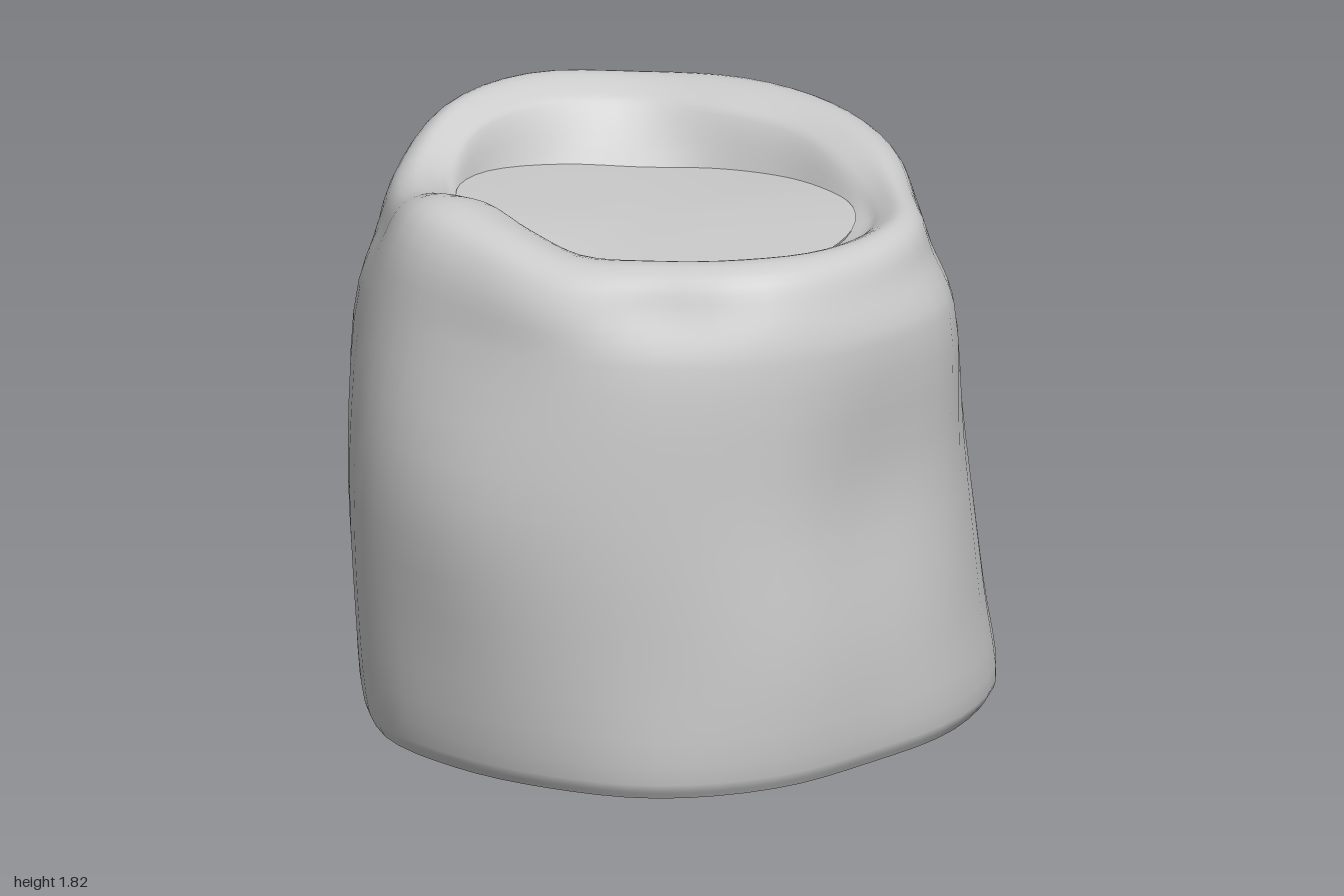
import * as THREE from 'three';

const SEG = 64, ROWS = 40, KEYS = 16;

// Smooth periodic interpolation of 16 values spaced around the pot (from +x towards +z)
function around(values, t) {
  const i = Math.floor(t), f = t - i;
  const v = (k) => values[(k + KEYS) % KEYS];
  const a = v(i - 1), b = v(i), c = v(i + 1), d = v(i + 2);
  return b + 0.5 * f * (c - a + f * (2 * a - 5 * b + 4 * c - d + f * (3 * (b - c) + d - a)));
}

// Radii of the uneven wall at several heights
const foot = [.98, .99, .97, .92, .90, .92, .89, .92, 1.0, .97, .94, .92, .93, 1.0, 1.09, 1.05];
const low = [.99, 1.01, .97, .95, .94, .96, .91, .92, .98, .95, .93, .92, .93, .98, 1.05, 1.04];
const waist = [.95, .98, .96, .96, .98, .97, .93, .88, .86, .88, .93, .96, .98, .97, .99, 1.01];
const upper = [.99, .97, .91, .88, .87, .91, .90, .87, .90, .94, .98, .98, .96, .93, .92, 1.01];
const shoulder = [.94, .92, .83, .85, .83, .86, .83, .87, .92, .99, 1.0, .97, .92, .88, .86, .94];
// Opening and its floor
const mouth = [.69, .64, .56, .53, .52, .53, .57, .66, .72, .74, .72, .66, .65, .64, .68, .73];
const well = [.64, .60, .55, .52, .51, .52, .56, .63, .68, .65, .59, .59, .58, .59, .64, .66];
// Wavy heights of the rim and the lower edge
const crest = [1.70, 1.71, 1.70, 1.70, 1.75, 1.78, 1.71, 1.71, 1.80, 1.82, 1.80, 1.81, 1.80, 1.77, 1.72, 1.71];
const edge = [.04, .03, .02, .02, .02, .03, .05, .03, 0, .02, .04, .05, .04, .05, .06, .05];

// The floor is gently bowed: higher towards two opposite corners
const floorY = (t) => 1.61 - 0.03 * Math.sin(t / KEYS * Math.PI * 4);

// Radius/height profile from the lower edge, over the rim, down to the well
function profileAt(t) {
  const r = (ring) => around(ring, t);
  const top = r(crest), e = r(edge), s = r(shoulder), m = r(mouth);
  return new THREE.CatmullRomCurve3([
    [r(foot) * 0.975, e], [r(foot), e + 0.05], [r(low), 0.42], [r(waist), 0.92],
    [r(upper), 1.42], [s, top - 0.13], [s * 0.8 + m * 0.2, top - 0.03],
    [s * 0.5 + m * 0.5, top], [m + 0.03, top - 0.035], [m - 0.005, top - 0.065], [r(well), floorY(t) - 0.01],
  ].map(([x, y]) => new THREE.Vector3(x, y, 0)), false, 'centripetal');
}

function makeMesh(name, positions, index) {
  const geo = new THREE.BufferGeometry();
  geo.setAttribute('position', new THREE.Float32BufferAttribute(positions, 3));
  geo.setIndex(index);
  geo.computeVertexNormals();
  const mesh = new THREE.Mesh(geo, new THREE.MeshStandardMaterial({ color: 0xcccccc, roughness: 0.8 }));
  mesh.name = name;
  return mesh;
}

// Disc filling an uneven ring, facing up or down
function makeDisc(name, radiusAt, heightAt, centreY, up) {
  const positions = [0, centreY, 0], index = [];
  for (let j = 0; j < SEG; j++) {
    const t = j / SEG * KEYS, a = j / SEG * Math.PI * 2, r = radiusAt(t);
    positions.push(r * Math.cos(a), heightAt(t), r * Math.sin(a));
    const p = 1 + j, q = 1 + (j + 1) % SEG;
    index.push(0, ...(up ? [q, p] : [p, q]));
  }
  return makeMesh(name, positions, index);
}

export function createModel() {
  const group = new THREE.Group();
  group.name = 'pot';

  // Lumpy wall with a rolled rim
  const positions = [], index = [];
  for (let j = 0; j < SEG; j++) {
    const a = j / SEG * Math.PI * 2, curve = profileAt(j / SEG * KEYS);
    for (let i = 0; i <= ROWS; i++) {
      // The parameter is per control point, so the rim gets the most rows
      const p = curve.getPoint(i / ROWS);
      positions.push(p.x * Math.cos(a), p.y, p.x * Math.sin(a));
    }
    const n = (j + 1) % SEG;
    for (let i = 0; i < ROWS; i++) {
      const p = j * (ROWS + 1) + i, q = n * (ROWS + 1) + i;
      index.push(p, p + 1, q, q, p + 1, q + 1);
    }
  }
  group.add(makeMesh('wallAndRim', positions, index));

  // Floor of the shallow opening
  group.add(makeDisc('innerFloor', (t) => around(well, t) + 0.005, floorY, 1.61, true));

  // Slightly uneven underside
  group.add(makeDisc('underside', (t) => around(foot, t) * 0.975, (t) => around(edge, t), 0.03, false));
  return group;
}
